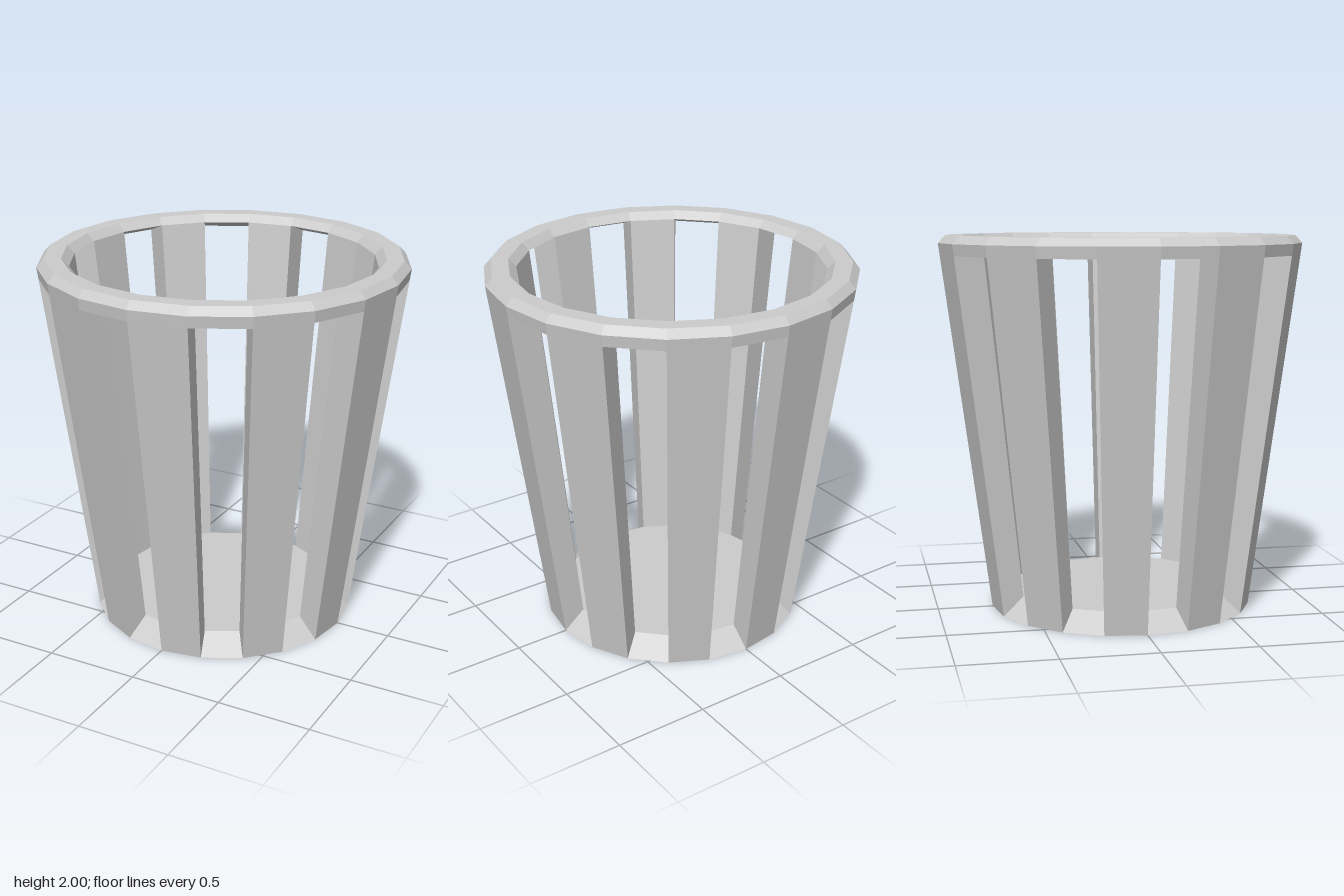
import * as THREE from 'three';

const SIDES = 20;
const STEP = (Math.PI * 2) / SIDES;

// Wall section as [radius, height] points
const FOOT_OUT = [0.705, 0], FOOT_IN = [0.59, 0.095];
const HEAD_OUT = [0.959, 1.9], HEAD_IN = [0.8, 1.96];
const RIM = [HEAD_OUT, [0.967, 1.96], [0.93, 2], [0.84, 2], HEAD_IN];

const points = (list) => list.map(([r, y]) => new THREE.Vector2(r, y));

export function createModel() {
  const group = new THREE.Group();
  const material = new THREE.MeshStandardMaterial({
    color: 0xcccccc, flatShading: true, side: THREE.DoubleSide,
  });
  const add = (parent, name, geometry) => {
    const mesh = new THREE.Mesh(geometry, material);
    mesh.name = name;
    parent.add(mesh);
    return mesh;
  };

  // Bevelled top rim, closed underneath by the sloping slot heads
  add(group, 'rim', new THREE.LatheGeometry(points([...RIM, HEAD_OUT]), SIDES));

  // Raised floor and the sloping foot ring around it
  add(group, 'floor', new THREE.CircleGeometry(FOOT_IN[0], SIDES).rotateX(-Math.PI / 2).translate(0, FOOT_IN[1], 0));
  add(group, 'footRing', new THREE.LatheGeometry(points([FOOT_IN, FOOT_OUT]), SIDES));

  // Slats fill every second side, leaving open slots between them
  const section = new THREE.Shape(points([FOOT_OUT, HEAD_OUT, HEAD_IN, FOOT_IN]));
  for (let i = 0; i < SIDES; i += 2) {
    const slat = new THREE.Group();
    slat.name = 'slat';
    const start = i * STEP;
    add(slat, 'slatOuterFace', new THREE.LatheGeometry(points([FOOT_OUT, HEAD_OUT]), 1, start, STEP));
    add(slat, 'slatInnerFace', new THREE.LatheGeometry(points([HEAD_IN, FOOT_IN]), 1, start, STEP));
    for (const angle of [start, start + STEP]) {
      add(slat, 'slatSide', new THREE.ShapeGeometry(section).rotateY(angle - Math.PI / 2));
    }
    group.add(slat);
  }
  return group;
}
